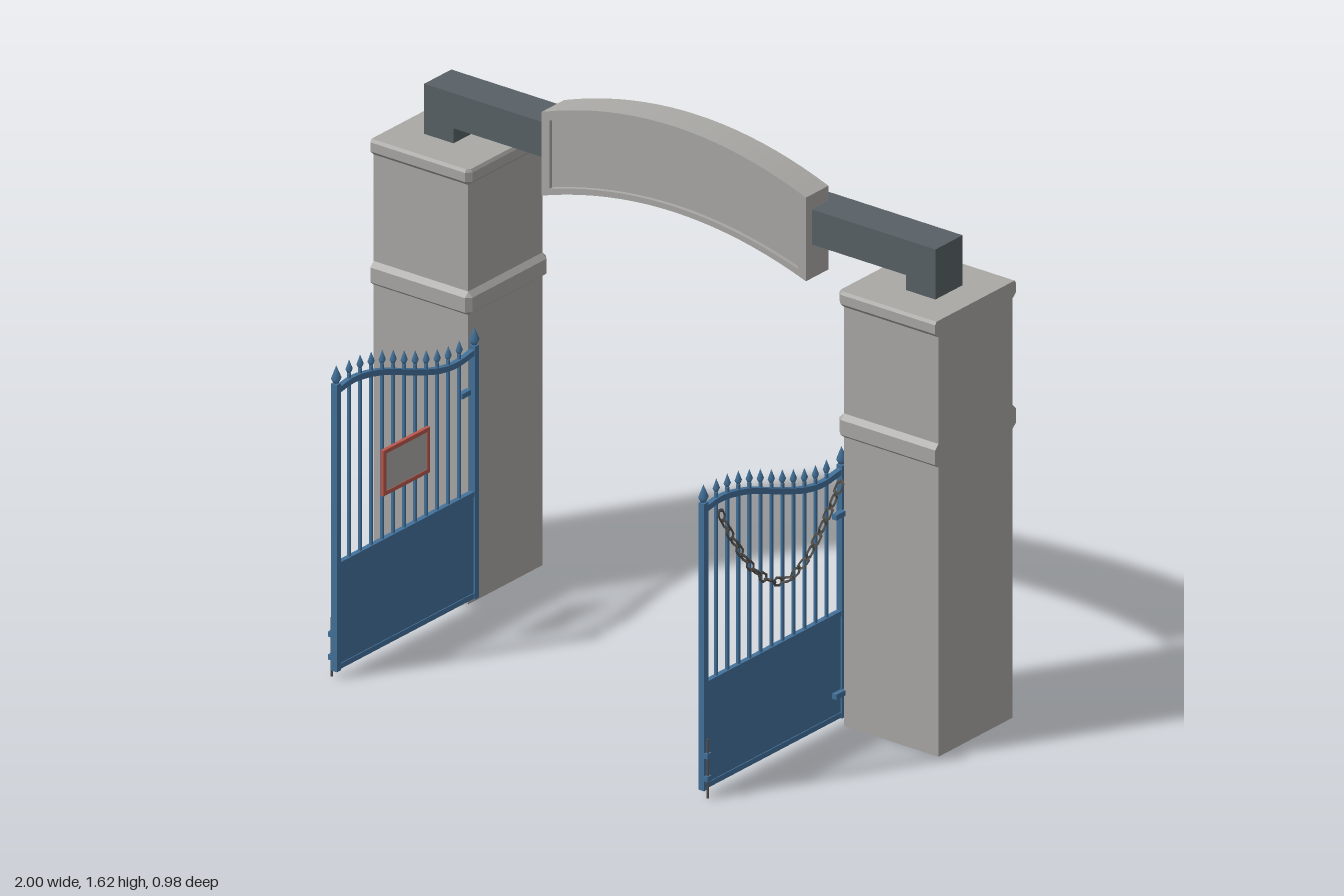
import * as THREE from 'three';

const mat = (name, color, extra = {}) => Object.assign(new THREE.MeshStandardMaterial({ color, ...extra }), { name });

export function createModel() {
  const stone = mat('stone', 0xa9a8a5);
  const steel = mat('darkSteel', 0x596166);
  const blue = mat('bluePaint', 0x42719a);
  const iron = mat('chainIron', 0x55534f);
  const red = mat('redTrim', 0xb9584c);

  const root = new THREE.Group();
  root.name = 'gateway';

  const add = (parent, name, geo, material, x = 0, y = 0, z = 0) => {
    const m = new THREE.Mesh(geo, material);
    m.name = name;
    m.position.set(x, y, z);
    parent.add(m);
    return m;
  };
  // Box given by its minimum and maximum corners
  const box = (parent, name, material, x0, x1, y0, y1, z0, z1) =>
    add(parent, name, new THREE.BoxGeometry(x1 - x0, y1 - y0, z1 - z0), material,
      (x0 + x1) / 2, (y0 + y1) / 2, (z0 + z1) / 2);

  // Pillar: stacked sections, trims project on three sides, outer side is flush
  const levels = [[0, 0], [0.885, 0], [0.897, 0.015], [0.942, 0.015], [0.957, 0],
    [1.283, 0], [1.297, 0.015], [1.325, 0.015], [1.334, 0.009]];
  const pillar = (s) => {
    const rings = levels.map(([y, o]) => {
      const xi = 0.665 - o, zf = -0.14 + o, zb = -0.475 - o;
      const p = [[xi + o, zf], [1, zf], [1, zb], [xi + o, zb], [xi, zb + o], [xi, zf - o]]
        .map(([x, z]) => [x * s, y, z]);
      return s > 0 ? p : p.reverse();
    });
    const pos = [];
    const tri = (a, b, c) => pos.push(...a, ...b, ...c);
    for (let k = 0; k + 1 < rings.length; k++) {
      const a = rings[k], b = rings[k + 1];
      for (let i = 0; i < 6; i++) {
        const j = (i + 1) % 6;
        tri(a[i], a[j], b[j]);
        tri(a[i], b[j], b[i]);
      }
    }
    const top = rings[rings.length - 1], base = rings[0];
    for (let i = 1; i < 5; i++) {
      tri(top[0], top[i], top[i + 1]);
      tri(base[0], base[i + 1], base[i]);
    }
    const g = new THREE.BufferGeometry();
    g.setAttribute('position', new THREE.Float32BufferAttribute(pos, 3));
    g.computeVertexNormals();
    return g;
  };
  add(root, 'leftPillar', pillar(1), stone);
  add(root, 'rightPillar', pillar(-1), stone);

  // Crossbeam with short feet on the pillars
  box(root, 'crossbeam', steel, -0.905, 0.905, 1.38, 1.487, -0.37, -0.247);
  for (const s of [-1, 1])
    box(root, 'beamFoot', steel, s * 0.853 - 0.052, s * 0.853 + 0.052, 1.33, 1.38, -0.37, -0.247);

  // Arched sign board: outline between two shallow arcs
  const arched = (w, endLow, midLow, endHigh, midHigh, Kind) => {
    const s = new Kind(), n = 20;
    for (let i = 0; i <= n; i++) {
      const t = -1 + 2 * i / n, y = midLow + (endLow - midLow) * t * t;
      i ? s.lineTo(w * t, y) : s.moveTo(w * t, y);
    }
    for (let i = n; i >= 0; i--) {
      const t = -1 + 2 * i / n;
      s.lineTo(w * t, midHigh + (endHigh - midHigh) * t * t);
    }
    s.closePath();
    return s;
  };
  const extrude = (shape, depth) => new THREE.ExtrudeGeometry(shape, { depth, bevelEnabled: false });
  const outline = () => arched(0.468, 1.277, 1.358, 1.533, 1.62, THREE.Shape);
  add(root, 'archBoard', extrude(outline(), 0.09), stone, 0, 0, -0.322);
  const rim = outline();
  rim.holes.push(arched(0.44, 1.306, 1.375, 1.515, 1.594, THREE.Path));
  add(root, 'archRim', extrude(rim, 0.012), stone, 0, 0, -0.232);

  // Gate leaf drawn in its own plane: local x runs toward the front
  const railCurve = new THREE.CatmullRomCurve3([
    [0.475, 0.878], [0.4, 0.887], [0.28, 0.866], [0.13, 0.812], [0.02, 0.777], [-0.06, 0.766], [-0.148, 0.777],
  ].map(([x, y]) => new THREE.Vector3(x, y, 0)));
  const railPts = railCurve.getSpacedPoints(32);
  const railY = (x) => {
    const i = Math.max(1, railPts.findIndex((p) => p.x <= x));
    const a = railPts[i - 1], b = railPts[i];
    return a.y + (b.y - a.y) * (x - a.x) / (b.x - a.x);
  };
  const finial = (r, h) => new THREE.LatheGeometry(
    [[0, 0], [r * 0.5, 0.002], [r, h * 0.3], [0, h]].map(([x, y]) => new THREE.Vector2(x, y)), 6);

  const gate = (s) => {
    const g = new THREE.Group();
    g.name = s > 0 ? 'leftGate' : 'rightGate';
    g.position.x = 0.65 * s;
    g.rotation.y = -Math.PI / 2;
    root.add(g);

    // Posts with spear tips
    for (const [x, top] of [[0.475, 0.9], [-0.148, 0.795]]) {
      box(g, 'post', blue, x - 0.01, x + 0.01, 0.022, top, -0.01, 0.01);
      add(g, 'postTip', finial(0.016, 0.055), blue, x, top, 0);
    }
    // Solid lower panel and its rails
    box(g, 'lowerPanel', blue, -0.14, 0.468, 0.03, 0.345, -0.005, 0.005);
    for (const y of [0.033, 0.343])
      box(g, 'panelRail', blue, -0.14, 0.468, y - 0.008, y + 0.008, -0.008, 0.008);
    // Wavy top rail
    const wave = new THREE.Shape([
      ...railPts.map((p) => new THREE.Vector2(p.x, p.y + 0.009)),
      ...railPts.slice().reverse().map((p) => new THREE.Vector2(p.x, p.y - 0.009)),
    ]);
    add(g, 'topRail', extrude(wave, 0.016), blue, 0, 0, -0.008);
    // Upright bars with spear tips
    for (let i = 0; i < 11; i++) {
      const x = 0.417 - i * 0.0497, top = railY(x) + 0.024;
      box(g, 'bar', blue, x - 0.004, x + 0.004, 0.345, top, -0.004, 0.004);
      add(g, 'barTip', finial(0.011, 0.042), blue, x, top, 0);
    }
    // Hinges on the pillar side and drop bolt at the free end
    const out = -s;
    for (const y of [0.103, 0.652]) {
      box(g, 'hinge', blue, -0.165, -0.1, y - 0.008, y + 0.008, out * 0.012 - 0.008, out * 0.012 + 0.008);
      add(g, 'hingePin', new THREE.CylinderGeometry(0.008, 0.008, 0.04, 8), blue, -0.162, y, out * 0.012);
    }
    add(g, 'dropBolt', new THREE.CylinderGeometry(0.004, 0.004, 0.18, 6), iron, 0.475, 0.09, out * 0.016);
    for (const y of [0.06, 0.13])
      box(g, 'boltGuide', blue, 0.466, 0.484, y - 0.008, y + 0.008, out * 0.015 - 0.007, out * 0.015 + 0.007);
    return g;
  };
  const leftGate = gate(1), rightGate = gate(-1);

  // Notice board on the inner face of the right gate
  box(rightGate, 'noticeBoard', stone, 0.08, 0.27, 0.5, 0.615, -0.013, -0.005);
  for (const y of [0.494, 0.621])
    box(rightGate, 'noticeFrame', red, 0.07, 0.28, y - 0.006, y + 0.006, -0.015, -0.004);
  for (const x of [0.076, 0.274])
    box(rightGate, 'noticeFrame', red, x - 0.006, x + 0.006, 0.5, 0.615, -0.015, -0.004);

  // Hanging chain on the outer face of the left gate
  const chain = new THREE.Group();
  chain.name = 'chain';
  leftGate.add(chain);
  const sag = new THREE.CatmullRomCurve3([
    [0.44, 0.87], [0.385, 0.77], [0.29, 0.64], [0.21, 0.575], [0.135, 0.552], [0.06, 0.575], [-0.01, 0.64], [-0.06, 0.7], [-0.11, 0.765],
  ].map(([x, y]) => new THREE.Vector3(x, y, -0.03)));
  const link = new THREE.TorusGeometry(0.0125, 0.004, 4, 6).toNonIndexed();
  link.computeVertexNormals();
  link.scale(1.7, 1, 1);
  const links = 20;
  for (let i = 0; i < links; i++) {
    const u = (i + 0.5) / links, p = sag.getPointAt(u), t = sag.getTangentAt(u);
    const m = add(chain, 'chainLink', link, iron, p.x, p.y, p.z);
    m.rotation.set(i % 2 ? Math.PI / 2 : 0, 0, Math.atan2(t.y, t.x), 'ZYX');
  }
  return root;
}
